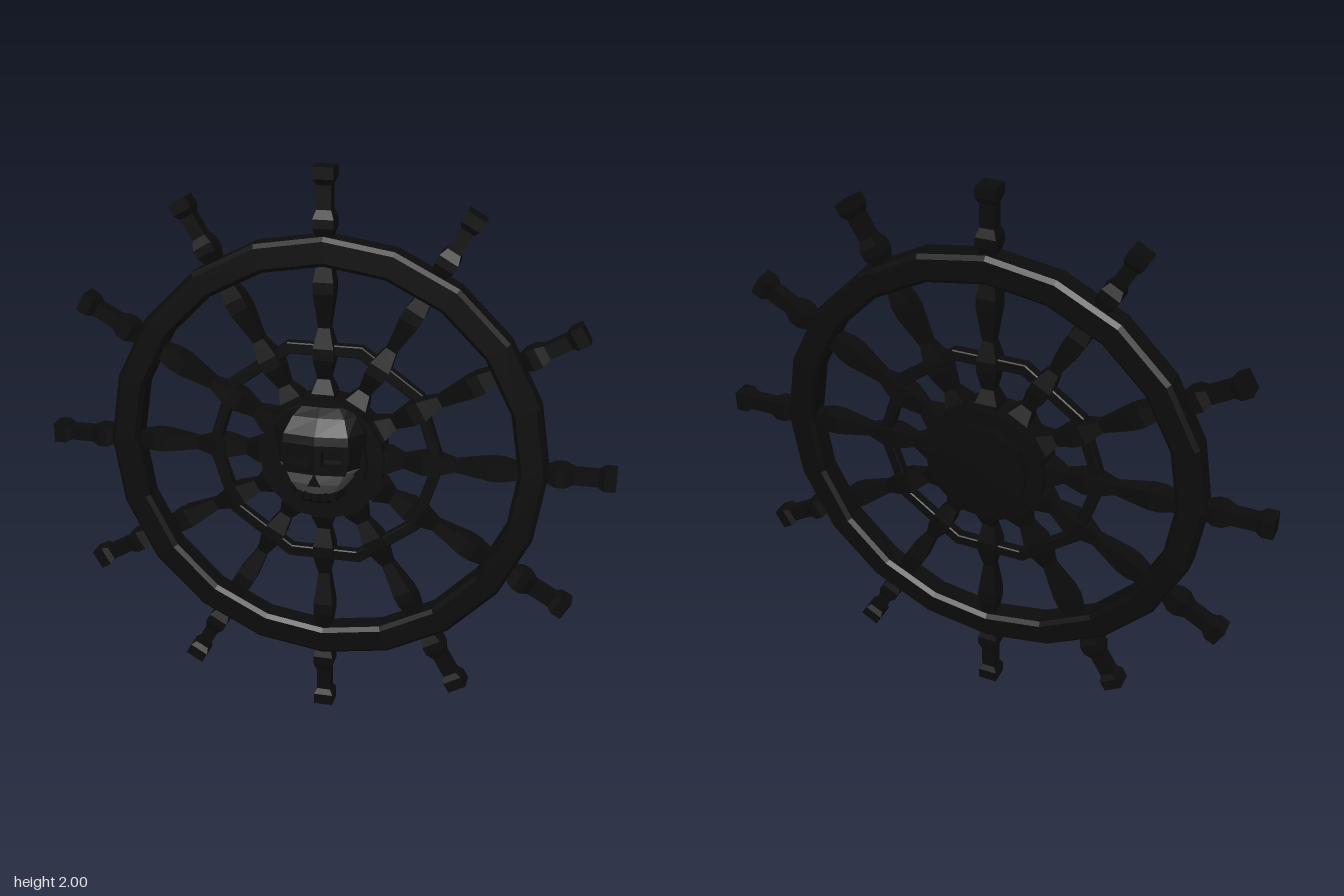
import * as THREE from 'three';

const black = new THREE.MeshStandardMaterial({ color: 0x0b0b0b, flatShading: true });
const grey = new THREE.MeshStandardMaterial({ color: 0x4a4a4a, flatShading: true });
const V = (x, y) => new THREE.Vector2(x, y);

function add(group, name, geometry, material = black) {
  const mesh = new THREE.Mesh(geometry, material);
  mesh.name = name;
  group.add(mesh);
  return mesh;
}

// Ring of chamfered rectangular section, facing z
function ring(inner, outer, half, c, sides, start = 0) {
  const p = [[inner + c, -half], [outer - c, -half], [outer, c - half], [outer, half - c],
    [outer - c, half], [inner + c, half], [inner, half - c], [inner, c - half], [inner + c, -half]];
  return new THREE.LatheGeometry(p.map(([r, y]) => V(r, y)), sides, start).rotateX(Math.PI / 2);
}

// Faceted head section: rows of [y, half width, front z], from bottom to top
function loft(rows) {
  const outline = [[-1, 0], [-1, 0.36], [-0.72, 0.88], [0, 1], [0.72, 0.88], [1, 0.36], [1, 0]];
  const n = outline.length, pos = [], idx = [];
  for (const [y, w, z] of rows) for (const [a, b] of outline) pos.push(a * w, y, b * z);
  for (let i = 0; i < rows.length - 1; i++) {
    for (let j = 0; j < n; j++) {
      const a = i * n + j, b = i * n + (j + 1) % n;
      idx.push(a, b, b + n, a, b + n, a + n);
    }
  }
  const top = (rows.length - 1) * n;
  for (let j = 1; j < n - 1; j++) idx.push(0, j + 1, j, top, top + j, top + j + 1);
  const g = new THREE.BufferGeometry();
  g.setAttribute('position', new THREE.Float32BufferAttribute(pos, 3));
  g.setIndex(idx);
  g.computeVertexNormals();
  return g;
}

function createSkull() {
  const skull = new THREE.Group();
  skull.name = 'skull';
  add(skull, 'headCore', loft([[0.97, 0.14, 0.1], [1.03, 0.155, 0.095], [1.1, 0.16, 0.095]]));
  add(skull, 'cranium', loft([[1.085, 0.16, 0.125], [1.12, 0.155, 0.118], [1.17, 0.125, 0.07], [1.195, 0.09, 0.03]]));
  add(skull, 'upperJaw', loft([[0.91, 0.085, 0.112], [0.95, 0.115, 0.13], [0.99, 0.14, 0.126]]), grey);
  add(skull, 'lowerJaw', loft([[0.865, 0.07, 0.085], [0.885, 0.095, 0.1], [0.912, 0.1, 0.1]]));

  // Each half of the face has a square eye socket and slants back from the middle
  for (const s of [-1, 1]) {
    const face = new THREE.Shape([V(0, 0.985), V(s * 0.105, 0.985), V(s * 0.12, 1.04), V(s * 0.12, 1.09), V(0, 1.09)]);
    face.holes.push(new THREE.Path([V(s * 0.025, 1.015), V(s * 0.095, 1.015), V(s * 0.09, 1.085), V(s * 0.025, 1.075)]));
    const g = new THREE.ExtrudeGeometry(face, { depth: 0.055, bevelEnabled: false });
    const p = g.attributes.position;
    for (let i = 0; i < p.count; i++) p.setZ(i, p.getZ(i) + 0.072 - 0.12 * Math.abs(p.getX(i)));
    g.computeVertexNormals();
    add(skull, 'eyeSocketFrame', g);
  }

  // Nose opening and teeth
  const nose = new THREE.Shape([V(-0.022, 0.945), V(0.022, 0.945), V(0, 0.99)]);
  add(skull, 'nose', new THREE.ExtrudeGeometry(nose, { depth: 0.02, bevelEnabled: false })).position.z = 0.112;
  for (let i = -2; i <= 2; i++) {
    add(skull, 'tooth', new THREE.BoxGeometry(0.022, 0.035, 0.02))
      .position.set(i * 0.029, 0.9, 0.1 - Math.abs(i) * 0.004);
  }
  return skull;
}

export function createModel() {
  const model = new THREE.Group();
  model.name = 'shipWheel';

  const wheel = new THREE.Group();
  wheel.name = 'wheel';
  wheel.position.set(0, 1, -0.04);
  model.add(wheel);

  add(wheel, 'outerRim', ring(0.675, 0.775, 0.05, 0.014, 20));
  add(wheel, 'innerRing', ring(0.38, 0.422, 0.02, 0.004, 10, Math.PI / 2));

  // Turned spokes of square section: [half width, distance from the centre]
  const profile = [[0.04, 0.12], [0.04, 0.23], [0.022, 0.28], [0.036, 0.35], [0.036, 0.39], [0.02, 0.46],
    [0.035, 0.58], [0.035, 0.62], [0.023, 0.69], [0.023, 0.76], [0.036, 0.8], [0.036, 0.83],
    [0.025, 0.86], [0.025, 0.94], [0.035, 0.96], [0.035, 1], [0, 1]];
  const spoke = new THREE.LatheGeometry(profile.map(([r, y]) => V(r * Math.SQRT2, y)), 4, Math.PI / 4);
  for (let i = 0; i < 12; i++) add(wheel, 'spoke', spoke).rotation.z = i * Math.PI / 6;

  // Hub with a smaller plate on both faces
  const disc = (r, d) => new THREE.CylinderGeometry(r, r, d, 20).rotateX(Math.PI / 2);
  add(wheel, 'hub', disc(0.22, 0.12));
  add(wheel, 'hubPlates', disc(0.165, 0.175)).position.z = -0.0025;

  model.add(createSkull());
  return model;
}
